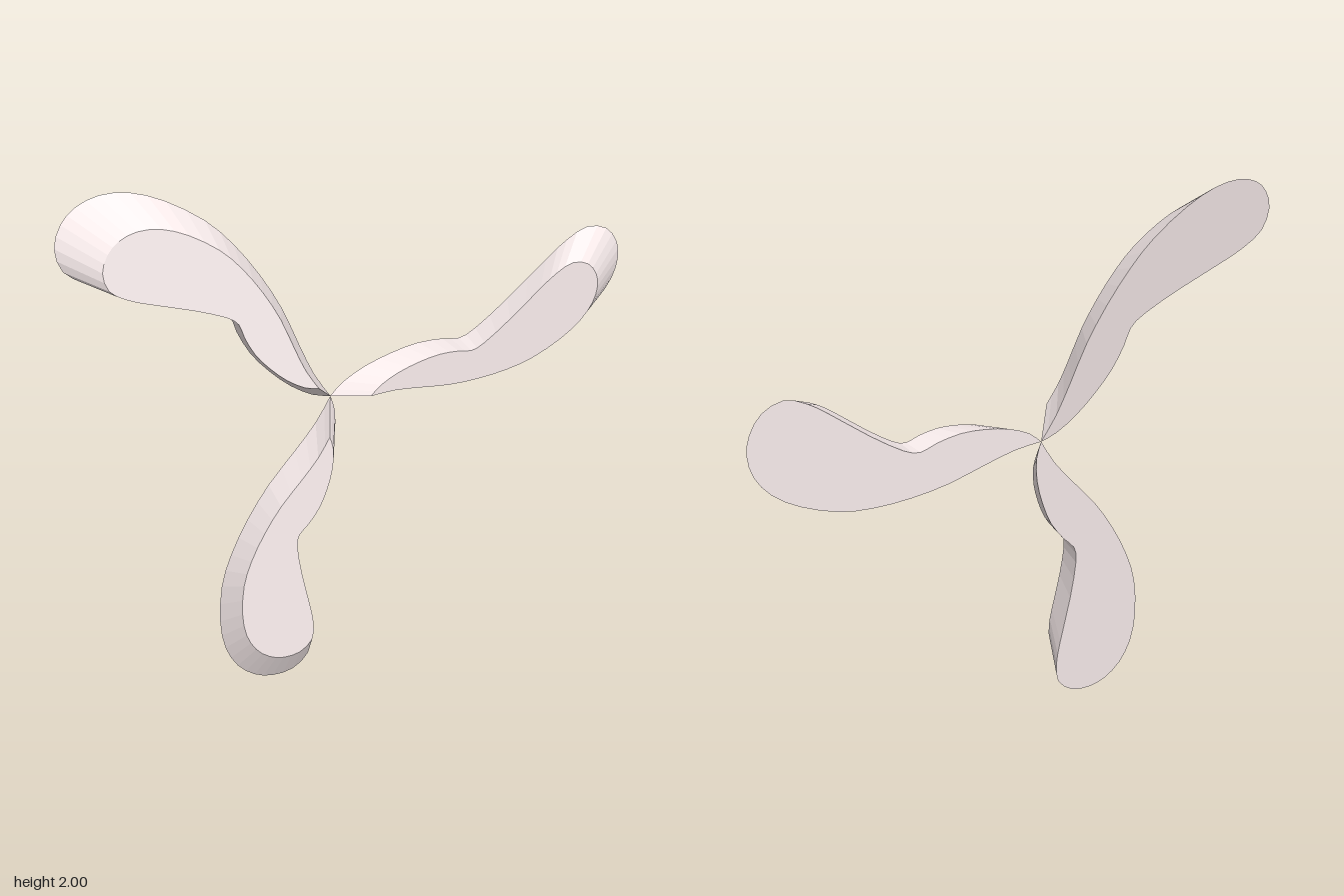
import * as THREE from 'three';

// Blade outline measured from the hub point, running root -> notch -> tip -> root
const OUTLINE = [
  [0, 0], [0.05, 0.045], [0.135, 0.085], [0.235, 0.11], [0.335, 0.121], [0.43, 0.111],
  [0.495, 0.095], [0.56, 0.118], [0.685, 0.205], [0.835, 0.325], [0.915, 0.382], [0.995, 0.414],
  [1.075, 0.388], [1.122, 0.325], [1.135, 0.255], [1.115, 0.175], [1.055, 0.095],
  [0.955, 0.025], [0.815, -0.035], [0.685, -0.06], [0.535, -0.066], [0.385, -0.055],
  [0.235, -0.025], [0.11, -0.003], [0, 0],
];
const DEPTH = 0.092;
const TAPER = 0.78; // front face size relative to the back face
const NOTCH = new THREE.Vector2(0.499, 0.098); // the taper shrinks towards here

// Solid with a large flat back, a smaller flat front and sloping walls
function bladeGeometry() {
  const curve = new THREE.SplineCurve(OUTLINE.map(([x, y]) => new THREE.Vector2(x, y)));
  const points = curve.getPoints(48).slice(0, -1);
  const geometry = new THREE.ExtrudeGeometry(new THREE.Shape(points), {
    depth: DEPTH, steps: 1, bevelEnabled: false,
  });
  const pos = geometry.attributes.position;
  for (let i = 0; i < pos.count; i++) {
    if (pos.getZ(i) < DEPTH / 2) continue;
    pos.setX(i, NOTCH.x + (pos.getX(i) - NOTCH.x) * TAPER);
    pos.setY(i, NOTCH.y + (pos.getY(i) - NOTCH.y) * TAPER);
  }
  geometry.computeVertexNormals();
  return geometry;
}

export function createModel() {
  const model = new THREE.Group();
  model.name = 'propeller';
  const geometry = bladeGeometry();
  const material = new THREE.MeshStandardMaterial({ color: 0xfaeeee, flatShading: true });
  const front = new THREE.Vector3(0, 0, 1);

  // Each blade is turned about a third of a circle, then tilted to its own facing
  const blades = [
    ['rightBlade', 0, [0, 0, 1]],
    ['upperBlade', 120, [-0.03, 0.161, 1]],
    ['lowerBlade', 240.6, [-0.137, 0.075, 1]],
  ];
  for (const [name, degrees, normal] of blades) {
    const blade = new THREE.Mesh(geometry, material);
    blade.name = name;
    const turn = new THREE.Quaternion().setFromAxisAngle(front, THREE.MathUtils.degToRad(degrees));
    const facing = new THREE.Vector3(...normal).normalize();
    blade.quaternion.setFromUnitVectors(front, facing).multiply(turn);
    blade.position.set(-0.135, 1.135, 0.012);
    model.add(blade);
  }
  return model;
}
